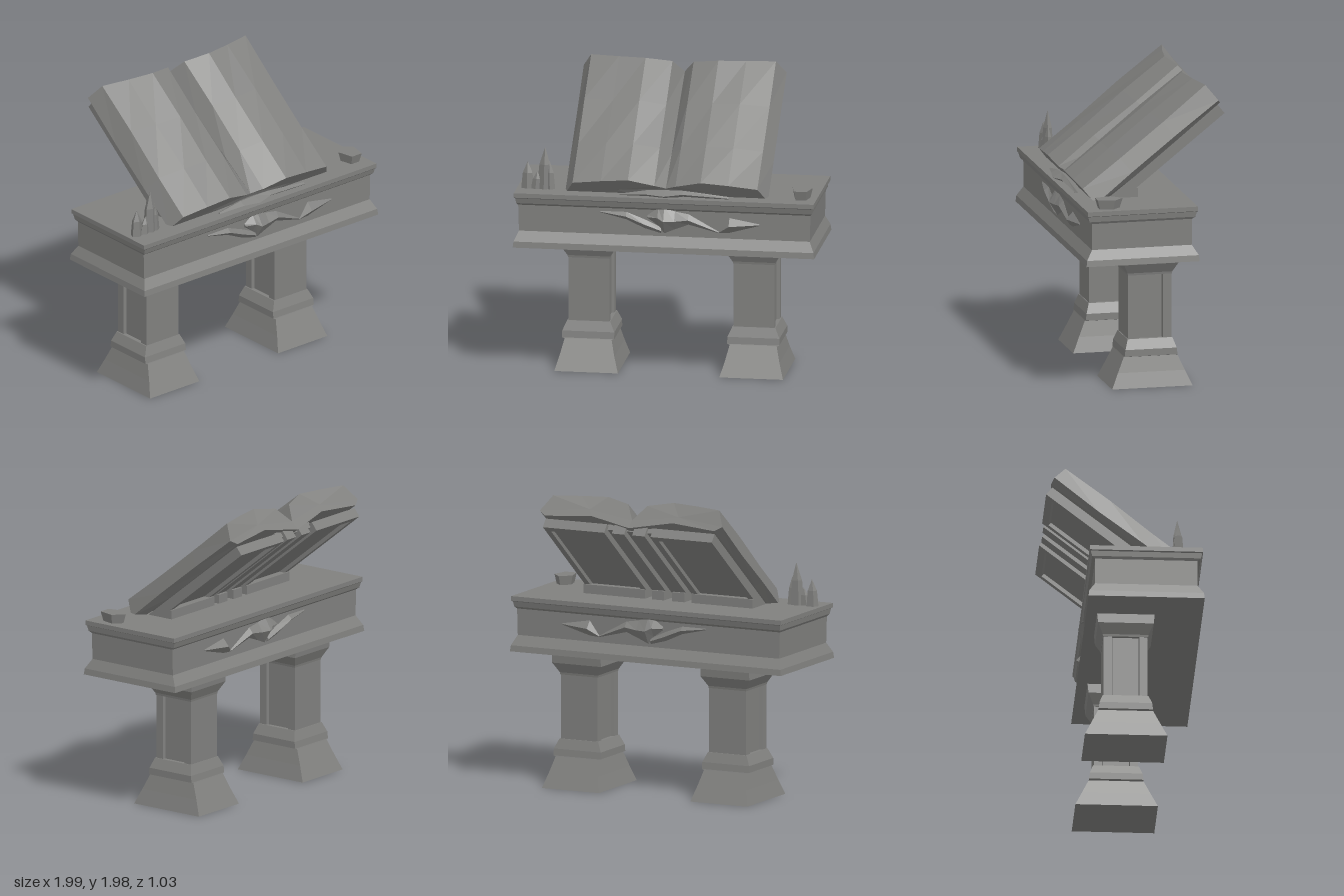
import * as THREE from 'three';

const stone = new THREE.MeshStandardMaterial({ color: 0x80807e, flatShading: true });
stone.name = 'grey stone';

function part(name, geometry, parent) {
  const mesh = new THREE.Mesh(geometry, stone);
  mesh.name = name;
  parent.add(mesh);
  return mesh;
}

// Solid skinned through rings of [x, y, z] points, capped at both ends
function loft(rings) {
  const pos = [];
  const tri = (a, b, c) => pos.push(...a, ...b, ...c);
  const mid = (r) => [0, 1, 2].map((k) => r.reduce((s, p) => s + p[k], 0) / r.length);
  const n = rings[0].length;
  const first = rings[0], last = rings[rings.length - 1];
  for (let j = 0; j < n; j++) {
    const k = (j + 1) % n;
    for (let i = 0; i < rings.length - 1; i++) {
      const a = rings[i], b = rings[i + 1];
      tri(a[j], a[k], b[k]);
      tri(a[j], b[k], b[j]);
    }
    tri(mid(first), first[k], first[j]);
    tri(mid(last), last[j], last[k]);
  }
  const g = new THREE.BufferGeometry();
  g.setAttribute('position', new THREE.Float32BufferAttribute(pos, 3));
  g.computeVertexNormals();
  return g;
}

// Rectangular moulding: rows of [y, half width, half depth]
const moulding = (rows) => loft(rows.map(([y, w, d]) => [[w, y, d], [w, y, -d], [-w, y, -d], [-w, y, d]]));

// Faceted carving along x: rows of [x, y, half height, half depth]
const carving = (rows) => loft(rows.map(([x, y, h, d]) => [[x, y + h, 0], [x, y, d], [x, y - h, 0], [x, y, -d]]));

function box(name, x0, x1, y0, y1, z0, z1, parent) {
  const m = part(name, new THREE.BoxGeometry(x1 - x0, y1 - y0, z1 - z0), parent);
  m.position.set((x0 + x1) / 2, (y0 + y1) / 2, (z0 + z1) / 2);
  return m;
}

function makeLeg(side) {
  const leg = new THREE.Group();
  leg.name = side > 0 ? 'leftLeg' : 'rightLeg';
  part('legFoot', moulding([[0, 0.21, 0.27], [0.1, 0.18, 0.225], [0.2, 0.155, 0.18], [0.205, 0.172, 0.178],
    [0.25, 0.172, 0.172], [0.315, 0.142, 0.15]]), leg);
  part('legCapital', moulding([[0.74, 0.137, 0.147], [0.755, 0.14, 0.15], [0.82, 0.18, 0.182], [0.9, 0.176, 0.19]]), leg);
  // Shaft with a sunk panel on each outer side
  const s = new THREE.Shape();
  const q = [[0.135, 0.145], [0.135, 0.09], [0.115, 0.085], [0.115, -0.085], [0.135, -0.09], [0.135, -0.145]];
  const outline = [...q, ...q.map(([x, z]) => [-x, -z])];
  s.setFromPoints(outline.map(([x, z]) => new THREE.Vector2(x, z)));
  const shaft = new THREE.ExtrudeGeometry(s, { depth: 0.45, bevelEnabled: false });
  shaft.rotateX(-Math.PI / 2).translate(0, 0.3, 0);
  part('legShaft', shaft, leg);
  leg.position.set(side * 0.545, 0, 0.005);
  return leg;
}

// One half of the open pages, in book space: y runs up the page, z out of it
function pages(side) {
  // x, depth, valley share, end overshoot
  const section = [[0, -0.17, 1, 0.03], [0.07, -0.05, 0, 0.02], [0.24, 0, 0, 0], [0.42, -0.02, 0, 0.02],
    [0.61, -0.05, 0, 0.05], [0.67, -0.17, 0, 0.05], [0.62, -0.205, 0, 0.05], [0.3, -0.17, 0, 0.04], [0, -0.235, 0, 0.04]];
  const rings = [0, 0.3, 0.65, 1].map((t, i) => {
    const ring = section.map(([x, w, valley, over], j) => [
      side * x,
      t * (1 + over) + (valley ? 0.02 * (1 - t) : 0),
      w + valley * 0.07 * (1 - t) + (i % 3 ? 0.008 * Math.sin(3 * j + 5 * i + side) : 0),
    ]);
    return side > 0 ? ring : ring.reverse();
  });
  return loft(rings);
}

function makeBook() {
  const book = new THREE.Group();
  book.name = 'openBook';
  for (const s of [1, -1]) {
    part(s > 0 ? 'leftPages' : 'rightPages', pages(s), book);
    const span = (name, a, b, y0, y1, z0, z1) =>
      box(name, Math.min(s * a, s * b), Math.max(s * a, s * b), y0, y1, z0, z1, book);
    // Cover board with a raised rim
    span('coverBoard', 0.17, 0.62, 0.1, 1.03, -0.255, -0.215);
    span('coverRim', 0.17, 0.21, 0.1, 1.03, -0.28, -0.25);
    span('coverRim', 0.58, 0.62, 0.1, 1.03, -0.28, -0.25);
    span('coverRim', 0.21, 0.58, 0.98, 1.03, -0.28, -0.25);
    span('spineRib', 0.03, 0.12, 0.1, 1.02, -0.275, -0.2);
  }
  box('spine', -0.18, 0.18, 0.1, 1.0, -0.24, -0.2, book);
  book.position.set(0, 1.36, 0.47);
  book.rotation.x = -0.9007;
  return book;
}

export function createModel() {
  const model = new THREE.Group();
  model.name = 'bookAltar';
  model.add(makeLeg(1), makeLeg(-1));

  // Table slab with waisted sides
  const table = part('table', moulding([[0.885, 0.995, 0.38], [0.925, 0.99, 0.375], [0.99, 0.96, 0.335], [1.165, 0.965, 0.335],
    [1.18, 0.975, 0.355], [1.215, 0.98, 0.365], [1.22, 0.99, 0.37], [1.25, 0.99, 0.37]]), model);
  table.position.z = 0.125;

  model.add(makeBook());
  // Feet where the cover meets the table
  for (const s of [1, -1]) {
    for (const [a, b] of [[0.17, 0.62], [0.03, 0.12]]) {
      box('coverFoot', Math.min(s * a, s * b), Math.max(s * a, s * b), 1.24, 1.31, 0.07, 0.16, model);
    }
  }

  // Carvings on the front and back faces
  for (const [face, z] of [['front', 0.462], ['back', -0.212]]) {
    const motifs = {
      CenterCarving: [[-0.11, 1.12, 0.01, 0.02], [-0.04, 1.12, 0.06, 0.04], [0, 1.1, 0.09, 0.055],
        [0.07, 1.1, 0.06, 0.04], [0.16, 1.11, 0.035, 0.03], [0.36, 1.03, 0.005, 0.005]],
      RightWing: [[-0.42, 1.14, 0.005, 0.005], [-0.25, 1.12, 0.025, 0.03], [-0.13, 1.07, 0.03, 0.025], [-0.02, 1.03, 0.02, 0.02]],
      LeftWing: [[0.36, 1.03, 0.005, 0.005], [0.43, 1.08, 0.05, 0.045], [0.63, 1.09, 0.005, 0.005]],
    };
    for (const [name, rows] of Object.entries(motifs)) part(face + name, carving(rows), model).position.z = z;
  }

  // Ribbon lying below the page edge
  part('ribbon', carving([[-0.3, 1.255, 0.005, 0.01], [-0.12, 1.27, 0.02, 0.04], [0, 1.265, 0.03, 0.06],
    [0.12, 1.275, 0.02, 0.03], [0.42, 1.255, 0.01, 0.01]]), model).position.z = 0.435;

  // Crystal cluster: x, z, radius, height, lean
  for (const [x, z, r, h, lean] of [[-0.92, 0.335, 0.045, 0.18, 0], [-0.81, 0.335, 0.05, 0.28, 0.005],
    [-0.77, 0.34, 0.035, 0.19, -0.005], [-0.865, 0.345, 0.035, 0.12, 0.01]]) {
    const ring = (y, k) => [0, 1, 2, 3, 4].map((i) => {
      const a = (i * Math.PI * 2) / 5;
      return [x + lean * y / h + k * r * Math.sin(a), 1.245 + y, z + k * r * 0.8 * Math.cos(a)];
    });
    part('crystal', loft([ring(0, 1), ring(h * 0.6, 0.75), ring(h, 0.03)]), model);
  }

  // Faceted gem on the opposite corner
  const gem = part('gem', new THREE.CylinderGeometry(0.07, 0.055, 0.065, 5), model);
  gem.position.set(0.89, 1.28, 0.335);
  gem.scale.z = 1.4;
  gem.rotation.y = Math.PI;
  return model;
}
